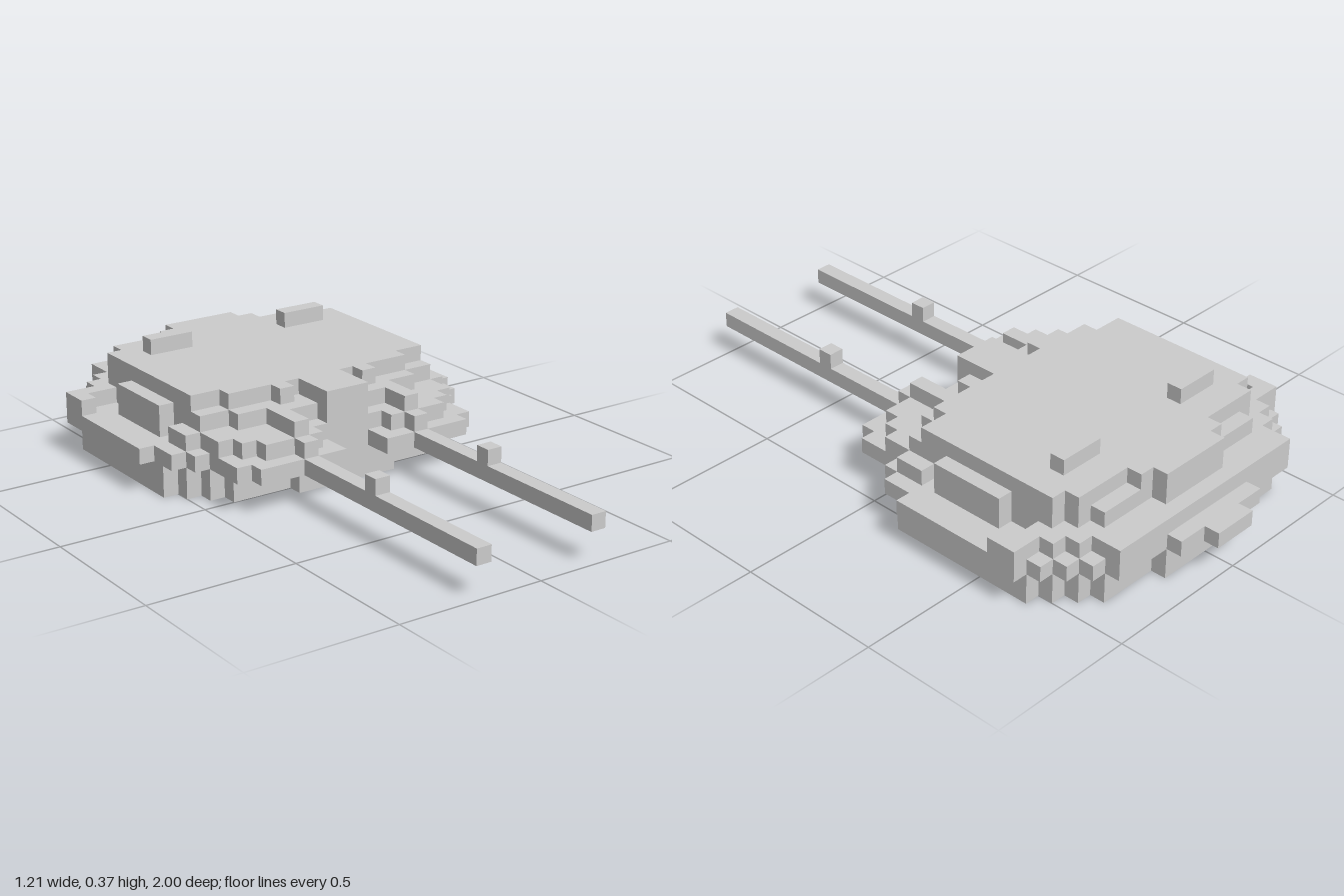
import * as THREE from 'three';

// Everything sits on a grid of cubes: 38 cells along z, x measured from the centre line.
const U = 2 / 38;
const mat = new THREE.MeshStandardMaterial({ color: 0xcccccc, flatShading: true });

// Stepped slab: rows are [first cell, end cell, half width] from back to front.
function slab(group, name, y0, y1, rows) {
  const right = [], left = [];
  for (const [a, b, w] of rows) {
    right.push([w, a], [w, b]);
    left.push([-w, a], [-w, b]);
  }
  const outline = [...right, ...left.reverse()]
    .map(([x, k]) => new THREE.Vector2(x * U, 1 - k * U));
  const geo = new THREE.ExtrudeGeometry(new THREE.Shape(outline), {
    depth: (y1 - y0) * U, bevelEnabled: false,
  });
  geo.rotateX(-Math.PI / 2);
  const mesh = new THREE.Mesh(geo, mat);
  mesh.name = name;
  mesh.position.y = y0 * U;
  group.add(mesh);
}

// Block given by its cell limits, mirrored to both sides.
function pair(group, name, x0, x1, y0, y1, k0, k1) {
  const geo = new THREE.BoxGeometry((x1 - x0) * U, (y1 - y0) * U, (k1 - k0) * U);
  for (const s of [1, -1]) {
    const mesh = new THREE.Mesh(geo, mat);
    mesh.name = (s > 0 ? 'left ' : 'right ') + name;
    mesh.position.set(s * (x0 + x1) / 2 * U, (y0 + y1) / 2 * U, -1 + (k0 + k1) / 2 * U);
    group.add(mesh);
  }
}

export function createModel() {
  const g = new THREE.Group();
  g.name = 'turret';

  // Turret body, from the bottom upwards
  slab(g, 'base', 0, 2, [
    [2, 3, 3.5], [3, 4, 7.5], [4, 5, 8.5], [5, 6, 9.5], [6, 16, 10.5],
    [16, 17, 9.5], [17, 18, 8.5], [18, 19, 7.5], [19, 20, 3.5],
  ]);
  slab(g, 'rim', 2, 3, [
    [0, 1, 1.5], [1, 2, 3.5], [2, 3, 7.5], [3, 4, 8.5], [4, 5, 9.5], [5, 6, 10.5],
    [6, 15, 11.5], [15, 17, 10.5], [17, 18, 9.5], [18, 20, 8.5],
  ]);
  slab(g, 'lowerArmour', 3, 4, [
    [2, 4, 7.5], [4, 5, 8.5], [5, 6, 9.5], [6, 9, 8.5], [9, 14, 9.5], [14, 15, 8.5],
    [15, 17, 9.5], [17, 19, 8.5], [19, 20, 7.5],
  ]);
  slab(g, 'upperArmour', 4, 5, [
    [3, 4, 2.5], [4, 5, 6.5], [5, 6, 7.5], [6, 9, 8.5], [9, 14, 9.5],
    [14, 17, 8.5], [17, 18, 6.5], [18, 19, 3.5], [19, 20, 1.5],
  ]);
  slab(g, 'roof', 5, 6, [
    [3, 4, 2.5], [4, 5, 3.5], [5, 6, 7.5], [6, 16, 8.5], [16, 17, 6.5], [17, 20, 1.5],
  ]);

  // Side and roof details
  pair(g, 'rimBlock', 8.5, 11.5, 3, 4, 6, 7);
  pair(g, 'rimBlockEnd', 10.5, 11.5, 3, 4, 7, 8);
  pair(g, 'roofLip', 2.5, 3.5, 5, 6, 17, 18);
  pair(g, 'hatch', 3.5, 6.5, 6, 7, 7, 8);

  // Gun mounts and guns
  pair(g, 'mountBack', 1.5, 8.5, 2, 3, 20, 21);
  pair(g, 'mountFront', 1.5, 7.5, 2, 3, 21, 22);
  pair(g, 'mountTop', 2.5, 6.5, 3, 4, 20, 21);
  pair(g, 'mountCap', 3.5, 4.5, 3, 4, 21, 22);
  pair(g, 'mountRidge', 3.5, 4.5, 4, 5, 18, 21);
  pair(g, 'barrel', 3.5, 4.5, 2, 3, 22, 38);
  pair(g, 'barrelSight', 3.5, 4.5, 3, 4, 28, 29);
  return g;
}
